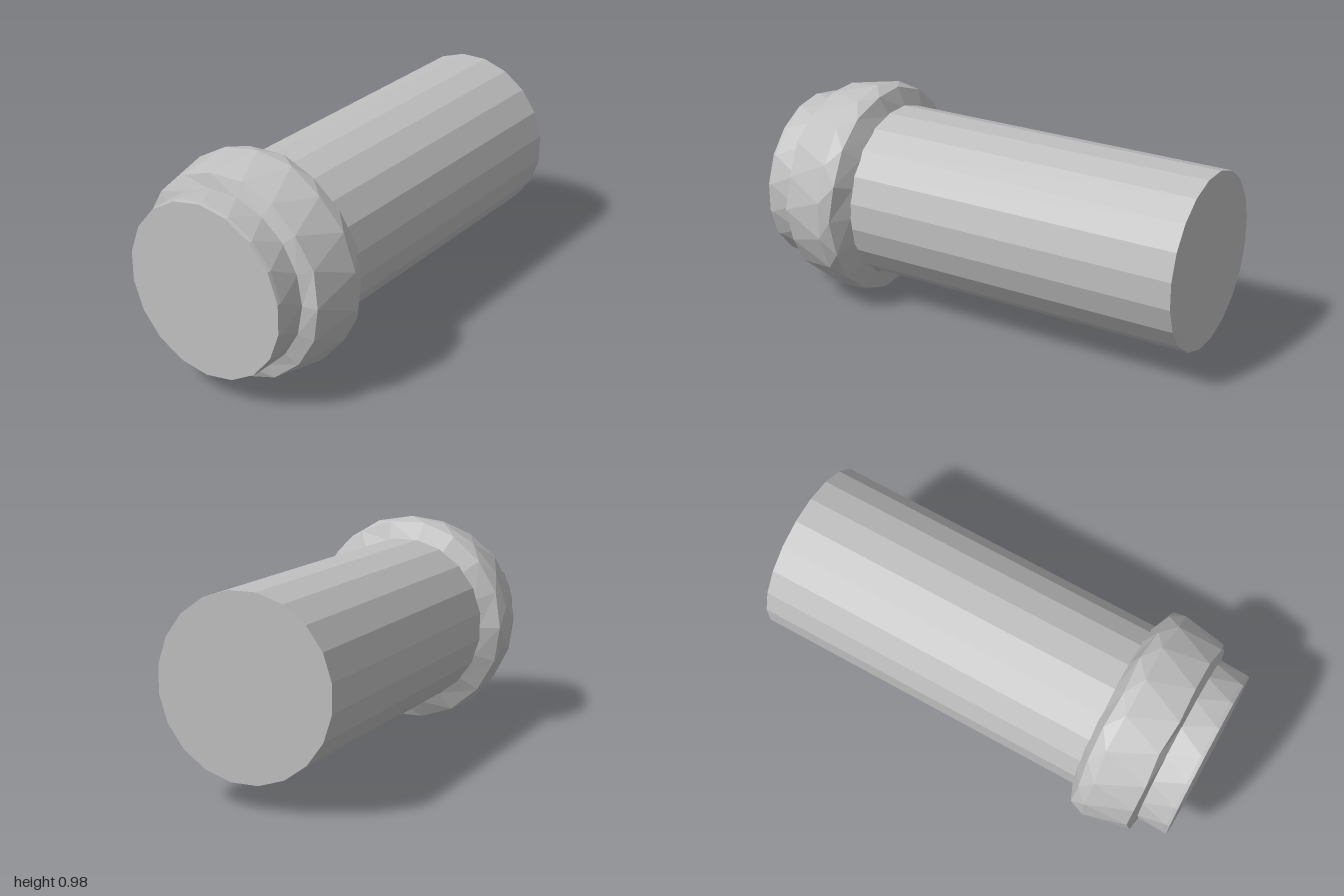
import * as THREE from 'three';

const TAU = Math.PI * 2;

// Faceted surface through rings of [z, radius, twist in sides], listed back to front.
// An optional wobble shifts each ring's corners slightly in z for a hewn look.
function ringSurface(rings, sides, { capBack = false, capFront = false, wobble = 0 } = {}) {
  const positions = [];
  const point = (r, i) => {
    const [z, radius, twist] = rings[r];
    const a = ((i + twist) / sides) * TAU;
    const k = ((i % sides) + sides) % sides;
    const inner = r > 0 && r < rings.length - 1;
    const shift = inner ? wobble * Math.sin(k * 2.4 + r * 1.7) : 0;
    return [Math.cos(a) * radius, Math.sin(a) * radius, z + shift];
  };
  const tri = (a, b, c) => positions.push(...a, ...b, ...c);
  for (let r = 0; r < rings.length - 1; r++) {
    for (let i = 0; i < sides; i++) {
      tri(point(r, i), point(r, i + 1), point(r + 1, i));
      tri(point(r, i + 1), point(r + 1, i + 1), point(r + 1, i));
    }
  }
  const last = rings.length - 1;
  for (let i = 0; i < sides; i++) {
    if (capBack) tri([0, 0, rings[0][0]], point(0, i + 1), point(0, i));
    if (capFront) tri([0, 0, rings[last][0]], point(last, i), point(last, i + 1));
  }
  // Unshared corners keep every facet flat
  const geometry = new THREE.BufferGeometry();
  geometry.setAttribute('position', new THREE.Float32BufferAttribute(positions, 3));
  geometry.computeVertexNormals();
  return geometry;
}

export function createModel() {
  const model = new THREE.Group();
  model.name = 'collaredRod';
  const grey = new THREE.MeshStandardMaterial({ color: 0xc0c0c0 });
  grey.name = 'grey';

  const add = (name, geometry, x, y) => {
    const mesh = new THREE.Mesh(geometry, grey);
    mesh.name = name;
    mesh.position.set(x, y, 0);
    model.add(mesh);
  };

  // Long straight shaft, closed at the back
  add('shaft', ringSurface([[-1, 0.387, 0.5], [0.56, 0.387, 0.5]], 20, { capBack: true }), -0.005, 0.495);

  // Bulging collar with staggered facets
  add('collar', ringSurface([
    [0.542, 0.384, 0],
    [0.587, 0.474, 0],
    [0.645, 0.489, 0.5],
    [0.842, 0.45, 1],
    [0.862, 0.384, 1],
  ], 18, { wobble: 0.007 }), 0, 0.487);

  // Short plug closing the front
  add('frontPlug', ringSurface([
    [0.85, 0.387, 0],
    [0.985, 0.387, 0.5],
    [1, 0.384, 0.5],
  ], 18, { capFront: true }), -0.004, 0.487);

  return model;
}
